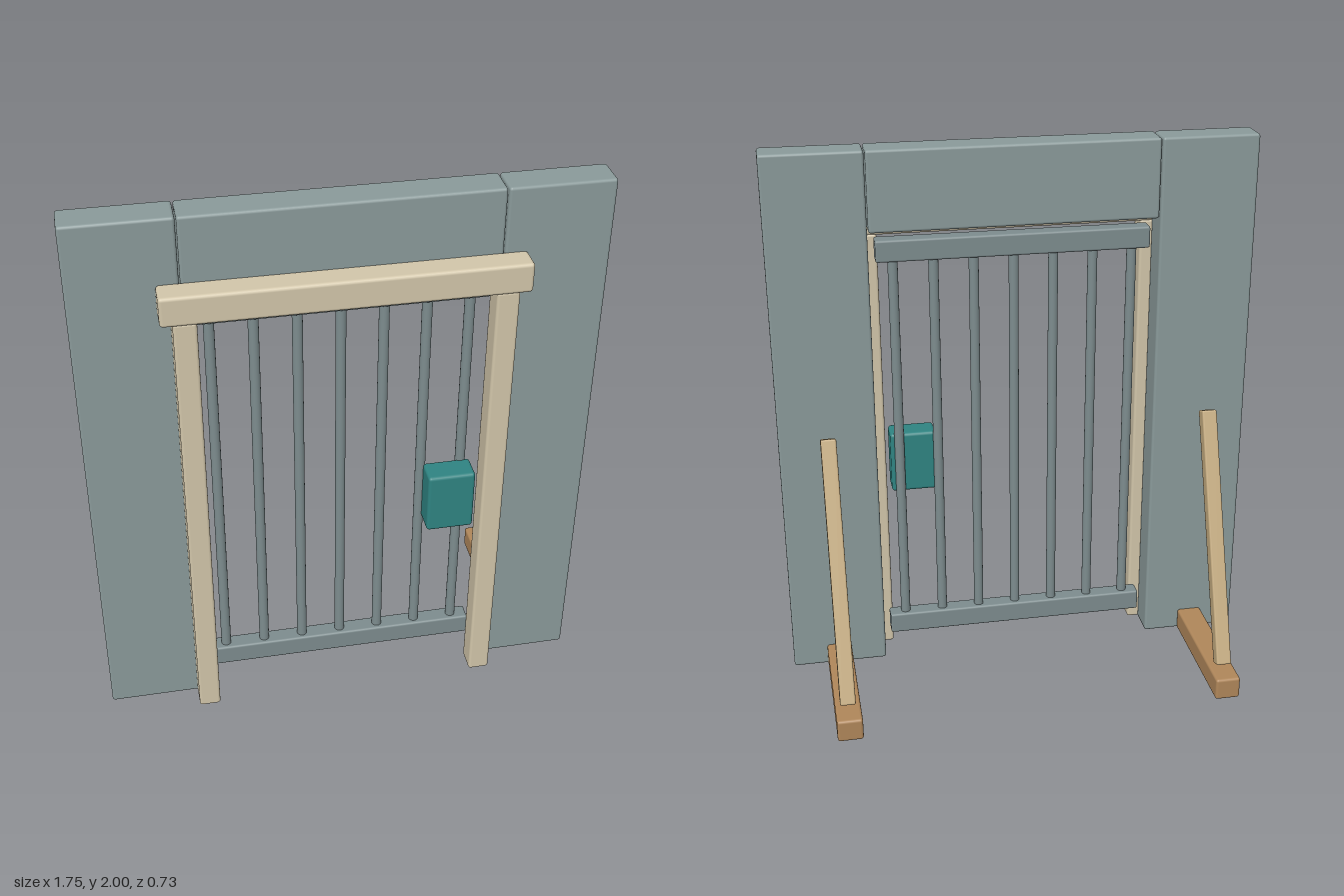
import * as THREE from 'three';
import { RoundedBoxGeometry } from 'three/addons/geometries/RoundedBoxGeometry.js';

const mat = (color) => new THREE.MeshStandardMaterial({ color });

export function createModel() {
  const model = new THREE.Group();
  model.name = 'gateWall';

  const wall = mat(0x8a9a9a);
  const metal = mat(0x7d8c8e);
  const cream = mat(0xd2c6aa);
  const wood = mat(0xb0875a);
  const paleWood = mat(0xc4ab80);
  const teal = mat(0x2f8482);

  // Softly rounded block given by its [min, max] along each axis
  function block(name, material, [x0, x1], [y0, y1], [z0, z1], radius = 0.01, parent = model) {
    const geometry = new RoundedBoxGeometry(x1 - x0, y1 - y0, z1 - z0, 2, radius);
    const mesh = new THREE.Mesh(geometry, material);
    mesh.name = name;
    mesh.position.set((x0 + x1) / 2, (y0 + y1) / 2, (z0 + z1) / 2);
    parent.add(mesh);
    return mesh;
  }

  // Header panel over the opening, and the door frame's lintel
  const wallZ = [0.155, 0.275];
  block('headerPanel', wall, [-0.518, 0.518], [1.71, 2], wallZ);
  block('frameLintel', cream, [-0.597, 0.597], [1.67, 1.775], [0.272, 0.366], 0.012);

  // Mirrored parts: wall panel, frame post, floor foot and sloping brace
  for (const side of [-1, 1]) {
    const label = side > 0 ? 'left' : 'right';
    const span = (a, b) => (side > 0 ? [a, b] : [-b, -a]);
    block(label + 'WallPanel', wall, span(0.522, 0.877), [0, 2], wallZ);
    block(label + 'FramePost', cream, span(0.48, 0.557), [0, 1.675], [0.272, 0.36]);
    block(label + 'Foot', wood, span(0.655, 0.748), [0, 0.085], [-0.367, 0.158]);

    const brace = block(label + 'Brace', paleWood, span(0.674, 0.73), [0.0715, 1.0285], [-0.141, -0.089], 0.007);
    brace.rotation.x = 0.359;
  }

  // Barred gate
  const gate = new THREE.Group();
  gate.name = 'gate';
  model.add(gate);
  const railZ = [0.183, 0.247];
  block('bottomRail', metal, [-0.495, 0.495], [0.09, 0.17], railZ, 0.008, gate);
  block('topRail', metal, [-0.495, 0.495], [1.595, 1.675], railZ, 0.008, gate);
  const barGeometry = new THREE.CylinderGeometry(0.018, 0.018, 1.47, 16);
  for (let i = -3; i <= 3; i++) {
    const bar = new THREE.Mesh(barGeometry, metal);
    bar.name = 'bar';
    bar.position.set(i * 0.1445, 0.8825, 0.215);
    gate.add(bar);
  }

  // Lock box on the front of the bars
  block('lockBox', teal, [0.297, 0.466], [0.685, 0.92], [0.22, 0.318], 0.012, gate);

  return model;
}
